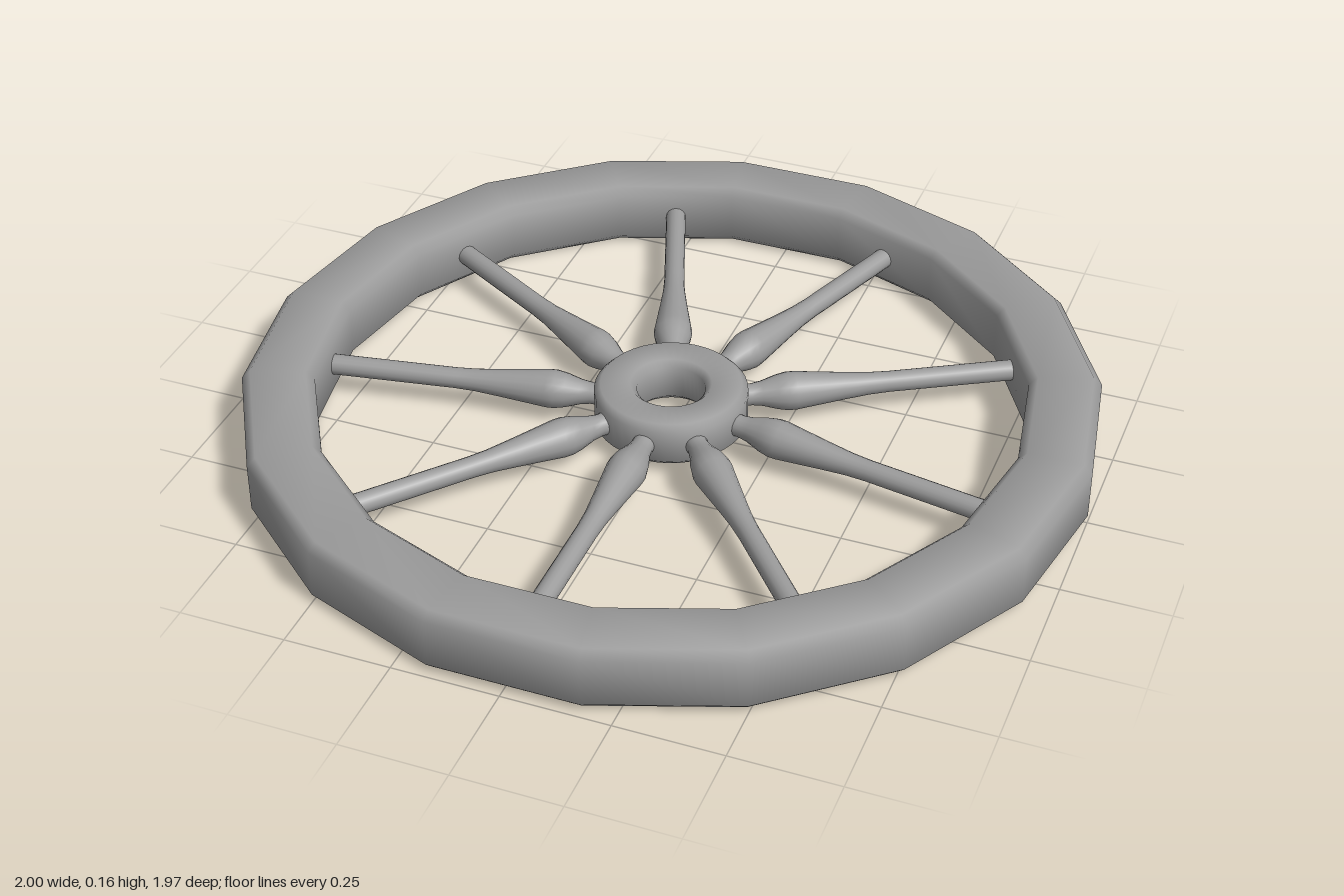
import * as THREE from 'three';

const MID = 0.078; // height of the wheel's centre plane
const material = new THREE.MeshStandardMaterial({ color: 0x9c9c9c });

// Ring with softly shaded chamfers, turned about the y axis
function ring(name, inner, outer, height, bevel, sides) {
  const h = height / 2;
  const corners = [
    [outer - bevel, -h + bevel, -90],
    [outer - bevel, h - bevel, 0],
    [inner + bevel, h - bevel, 90],
    [inner + bevel, -h + bevel, 180],
    [outer - bevel, -h + bevel, 270],
  ];
  const points = [];
  const tilts = [];
  for (const [x, y, start] of corners) {
    for (const [turn, tilt] of [[0, 20], [90, 70]]) {
      const a = THREE.MathUtils.degToRad(start + turn);
      points.push(new THREE.Vector2(x + bevel * Math.cos(a), y + bevel * Math.sin(a)));
      tilts.push(THREE.MathUtils.degToRad(start + tilt));
    }
  }
  points.pop(); // the loop closes on its first point
  const geometry = new THREE.LatheGeometry(points, sides, Math.PI / 2);

  // Blend the normals evenly between each face and its chamfer
  const normal = geometry.attributes.normal;
  for (let i = 0; i < normal.count; i++) {
    const tilt = tilts[i % points.length];
    const phi = Math.PI / 2 + (Math.floor(i / points.length) * Math.PI * 2) / sides;
    normal.setXYZ(i, Math.cos(tilt) * Math.sin(phi), Math.sin(tilt), Math.cos(tilt) * Math.cos(phi));
  }

  const mesh = new THREE.Mesh(geometry, material);
  mesh.name = name;
  mesh.position.y = MID;
  return mesh;
}

export function createModel() {
  const wheel = new THREE.Group();
  wheel.name = 'wheel';

  // Eighteen-sided rim and round hub with an axle hole
  wheel.add(ring('rim', 0.83, 1, 0.156, 0.02, 18));
  wheel.add(ring('hub', 0.08, 0.18, 0.11, 0.015, 40));

  // Turned spoke: radius and distance from the axle
  const profile = [
    [0.028, 0.15], [0.026, 0.19], [0.03, 0.215], [0.041, 0.25], [0.046, 0.275],
    [0.046, 0.295], [0.042, 0.33], [0.033, 0.41], [0.027, 0.47], [0.025, 0.52], [0.025, 0.84],
  ].map(([r, d]) => new THREE.Vector2(r, d));
  const spokeGeometry = new THREE.LatheGeometry(profile, 16);
  spokeGeometry.rotateX(Math.PI / 2); // point along +z

  // Nine evenly spaced spokes
  const spokes = new THREE.Group();
  spokes.name = 'spokes';
  for (let i = 0; i < 9; i++) {
    const spoke = new THREE.Mesh(spokeGeometry, material);
    spoke.name = 'spoke';
    spoke.position.y = MID;
    spoke.rotation.y = (i * Math.PI * 2) / 9;
    spokes.add(spoke);
  }
  wheel.add(spokes);
  return wheel;
}
